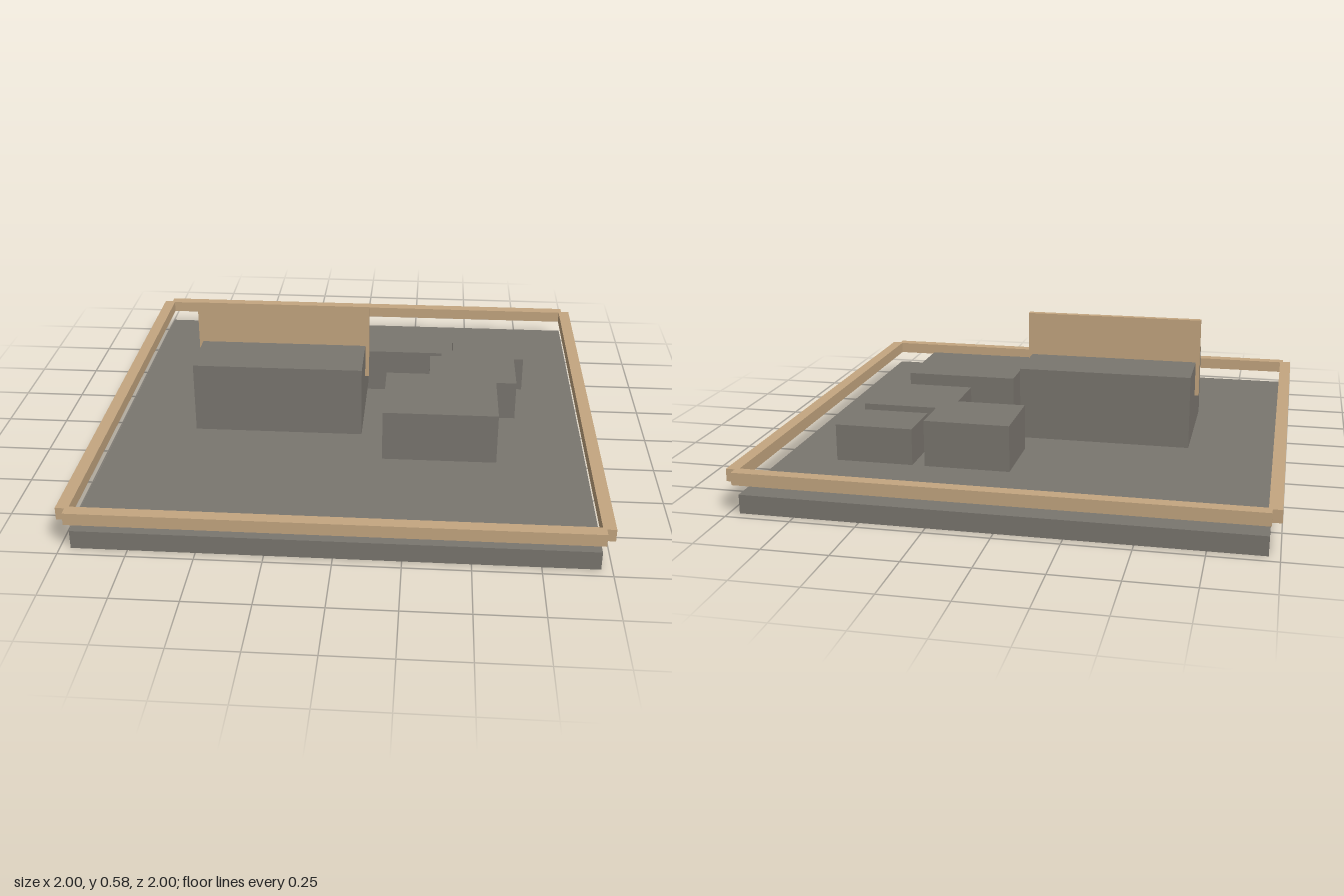
import * as THREE from 'three';

export function createModel() {
  const model = new THREE.Group();
  const stone = new THREE.MeshStandardMaterial({ color: 0x7a766f });
  stone.name = 'grey stone';
  const wood = new THREE.MeshStandardMaterial({ color: 0xc4a680 });
  wood.name = 'tan wood';

  // Box given by its extents along each axis
  function box(name, material, [x0, x1], [y0, y1], [z0, z1]) {
    const mesh = new THREE.Mesh(new THREE.BoxGeometry(x1 - x0, y1 - y0, z1 - z0), material);
    mesh.position.set((x0 + x1) / 2, (y0 + y1) / 2, (z0 + z1) / 2);
    mesh.name = name;
    model.add(mesh);
  }

  // Ground slab
  box('groundSlab', stone, [-0.96, 0.96], [0, 0.073], [-0.96, 0.96]);

  // Floating rails round the edge, open at the corners
  const railY = [0.125, 0.173];
  const length = [-0.965, 0.965];
  box('frontRail', wood, length, railY, [0.952, 1]);
  box('backRail', wood, length, railY, [-1, -0.952]);
  box('leftRail', wood, [0.952, 1], railY, length);
  box('rightRail', wood, [-1, -0.952], railY, length);

  // Main block with an upright board along its middle
  box('mainBlock', stone, [-0.62, 0.06], [0.122, 0.41], [-0.25, 0.25]);
  box('uprightBoard', wood, [-0.635, 0.075], [0.27, 0.585], [-0.013, 0.013]);

  // Cluster of smaller blocks
  box('frontBlock', stone, [0.15, 0.605], [0.082, 0.29], [0.013, 0.373]);
  box('middleBlock', stone, [0.33, 0.695], [0.082, 0.247], [-0.32, -0.008]);
  box('backBlock', stone, [0.04, 0.38], [0.075, 0.26], [-0.533, -0.256]);
  box('backCornerBlock', stone, [0.43, 0.74], [0.075, 0.222], [-0.533, -0.298]);

  return model;
}
